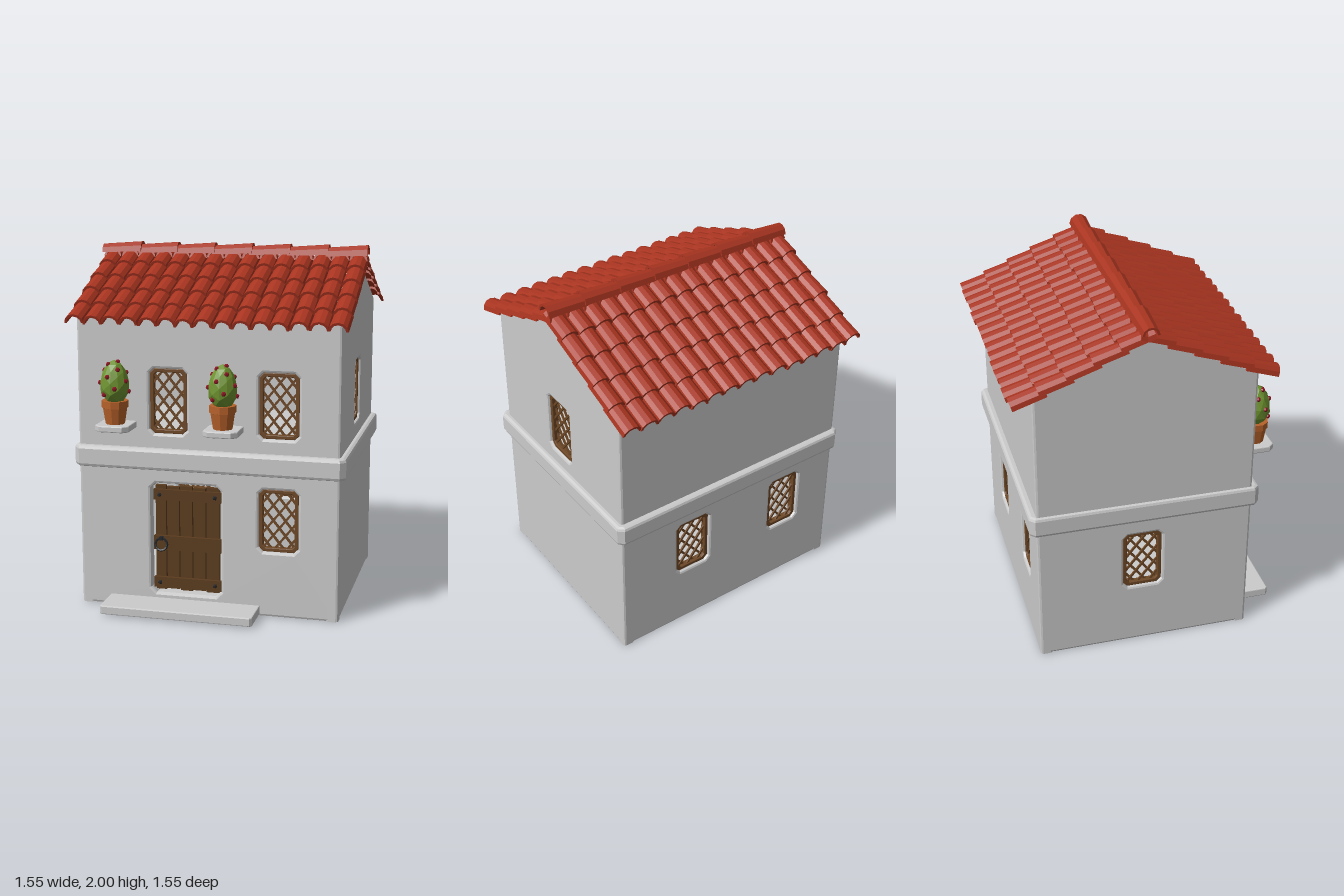
import * as THREE from 'three';

const mat = (color) => new THREE.MeshStandardMaterial({ color, flatShading: true, side: THREE.DoubleSide });
const PLASTER = mat(0xcccccc), TILE = mat(0xa83420), FRAME = mat(0x6e4826), DOOR = mat(0x5c3c1e);
const IRON = mat(0x24262a), CLAY = mat(0xb8622a), LEAF = mat(0x6f9430), BLOOM = mat(0x8c1424);

let seed = 7;
const rand = () => (seed = (seed * 16807) % 2147483647) / 2147483647;

function add(parent, name, geo, material, x = 0, y = 0, z = 0) {
  const m = new THREE.Mesh(geo, material);
  m.name = name;
  m.position.set(x, y, z);
  parent.add(m);
  return m;
}

function group(parent, name, x = 0, y = 0, z = 0) {
  const g = new THREE.Group();
  g.name = name;
  g.position.set(x, y, z);
  parent.add(g);
  return g;
}

// Rectangle with cut corners
function cutRect(x0, y0, x1, y1, c, Type = THREE.Shape) {
  return new Type([[x0 + c, y0], [x1 - c, y0], [x1, y0 + c], [x1, y1 - c], [x1 - c, y1], [x0 + c, y1], [x0, y1 - c], [x0, y0 + c]]
    .map(([x, y]) => new THREE.Vector2(x, y)));
}

// Bevelled slab of depth d with its front face at z = 0
function slab(shape, d, b) {
  return new THREE.ExtrudeGeometry(shape, {
    depth: d - 2 * b, bevelThickness: b, bevelSize: b, bevelOffset: -b, bevelSegments: 2, curveSegments: 4,
  }).translate(0, 0, b - d);
}

// Arched tile running along +z, narrower at its start
function archTile(w, h, t, len, taper, n) {
  const pts = [];
  for (let i = 0; i <= n; i++) {
    const a = (Math.PI * i) / n;
    pts.push(new THREE.Vector2((Math.cos(a) * w) / 2, Math.sin(a) * h));
  }
  for (let i = n; i >= 0; i--) {
    const a = (Math.PI * i) / n;
    pts.push(new THREE.Vector2(Math.cos(a) * (w / 2 - t), Math.sin(a) * (h - t)));
  }
  const geo = new THREE.ExtrudeGeometry(new THREE.Shape(pts), { depth: len, bevelEnabled: false });
  const p = geo.attributes.position;
  for (let i = 0; i < p.count; i++) {
    const s = taper + ((1 - taper) * p.getZ(i)) / len;
    p.setXY(i, p.getX(i) * s, p.getY(i) * s);
  }
  geo.computeVertexNormals();
  return geo;
}

// Framed window with a diagonal lattice
function addWindow(parent, [x0, y0, x1, y1]) {
  const w = x1 - x0, h = y1 - y0, f = 0.022;
  const g = group(parent, 'latticeWindow', (x0 + x1) / 2, (y0 + y1) / 2, -0.015);
  const frame = cutRect(-w / 2, -h / 2, w / 2, h / 2, 0.025);
  frame.holes.push(cutRect(f - w / 2, f - h / 2, w / 2 - f, h / 2 - f, 0.015, THREE.Path));
  add(g, 'windowFrame', slab(frame, 0.035, 0.004), FRAME);
  const a = w / 2 - f / 2, b = h / 2 - f / 2, k = 1.25;
  for (const side of [-1, 1]) {
    for (let c = -4; c <= 4; c++) {
      // Clip the line y = k x + off to the opening
      const off = c * 0.085 + 0.04;
      const u0 = Math.max(-a, (-b - off) / k), u1 = Math.min(a, (b - off) / k);
      if (u1 - u0 < 0.02) continue;
      const len = (u1 - u0) * Math.hypot(1, k);
      const bar = add(g, 'latticeBar', new THREE.BoxGeometry(len, 0.012, 0.01), FRAME,
        (side * (u0 + u1)) / 2, (k * (u0 + u1)) / 2 + off, -0.018 + side * 0.004);
      bar.rotation.z = side * Math.atan(k);
    }
  }
}

// Plank door with battens, bolts and a ring handle
function addDoor(parent) {
  const g = group(parent, 'door', 0, 0, -0.01);
  const edges = [-0.31, -0.245, -0.17, -0.095, -0.02, 0.06];
  for (let i = 0; i < 5; i++) {
    const w = edges[i + 1] - edges[i] - 0.006;
    add(g, 'doorPlank', new THREE.BoxGeometry(w, 0.6 - (i % 2) * 0.012, 0.025), DOOR, (edges[i] + edges[i + 1]) / 2, 0.405, -0.025);
  }
  for (const [y, h] of [[0.15, 0.06], [0.38, 0.08], [0.655, 0.06]]) {
    add(g, 'doorBatten', new THREE.BoxGeometry(0.385, h, 0.02), DOOR, -0.122, y, -0.005);
    if (y === 0.38) continue;
    for (const x of [-0.28, 0.035]) add(g, 'doorBolt', new THREE.IcosahedronGeometry(0.013, 0), IRON, x, y, 0.006);
  }
  const ring = add(g, 'doorRing', new THREE.TorusGeometry(0.034, 0.007, 5, 12), IRON, -0.268, 0.375, 0.02);
  ring.rotation.x = -0.2;
  add(g, 'ringMount', new THREE.BoxGeometry(0.02, 0.02, 0.025), IRON, -0.268, 0.408, 0.012);
}

// Wall shell with openings, ready to be turned to its side
function addWall(parent, name, outline, windows, pos, turn, door) {
  const g = group(parent, name, ...pos);
  g.rotation.y = turn;
  const shape = new THREE.Shape(outline.map(([x, y]) => new THREE.Vector2(x, y)));
  for (const o of windows) shape.holes.push(cutRect(...o, 0.025, THREE.Path));
  if (door) shape.holes.push(cutRect(-0.33, 0.09, 0.07, 0.72, 0.03, THREE.Path));
  add(g, name + 'Plaster', slab(shape, 0.07, 0.014), PLASTER);
  windows.forEach((o) => addWindow(g, o));
  if (door) addDoor(g);
}

// Shelf, pot and flowering bush
function addPlant(parent, x) {
  const g = group(parent, 'pottedPlant', x, 0, 0.65);
  add(g, 'shelf', slab(cutRect(-0.095, -0.11, 0.095, 0.09, 0.03), 0.035, 0.006).rotateX(Math.PI / 2), PLASTER, 0, 1.032, 0);
  const pot = [[0, 1.067], [0.052, 1.067], [0.066, 1.155], [0.073, 1.157], [0.073, 1.195], [0.06, 1.195], [0, 1.185]];
  add(g, 'pot', new THREE.LatheGeometry(pot.map(([r, y]) => new THREE.Vector2(r, y)), 10), CLAY);
  const bush = new THREE.IcosahedronGeometry(1, 1);
  const squeeze = (y) => 1 - 0.18 * y;
  const p = bush.attributes.position;
  for (let i = 0; i < p.count; i++) {
    const s = squeeze(p.getY(i));
    p.setXYZ(i, p.getX(i) * 0.079 * s, p.getY(i) * 0.12, p.getZ(i) * 0.079 * s);
  }
  add(g, 'bush', bush, LEAF, 0, 1.295, 0);
  for (let i = 0; i < 16; i++) {
    const v = 0.95 - (i / 15) * 1.6, r = Math.sqrt(1 - v * v) * 0.077 * squeeze(v), a = i * 2.4;
    add(g, 'blossom', new THREE.IcosahedronGeometry(0.014, 0), BLOOM, Math.cos(a) * r, 1.295 + v * 0.116, Math.sin(a) * r);
  }
}

export function createModel() {
  const house = new THREE.Group();
  house.name = 'house';

  // Walls
  const eave = [[-0.74, 0], [0.725, 0], [0.725, 1.64], [-0.74, 1.64]];
  const mirror = (pts) => pts.map(([x, y]) => [-x, y]).reverse();
  const gable = [[-0.65, 0], [0.56, 0], [0.56, 1.64], [-0.05, 1.915], [-0.65, 1.645]];
  addWall(house, 'frontWall', eave, [[-0.33, 1, -0.12, 1.36], [0.28, 1, 0.5, 1.36], [0.28, 0.37, 0.5, 0.72]], [0, 0, 0.56], 0, true);
  addWall(house, 'backWall', mirror(eave), [[-0.36, 0.37, -0.14, 0.72], [0.29, 0.37, 0.5, 0.72]], [0, 0, -0.65], Math.PI);
  addWall(house, 'leftWall', mirror(gable), [[-0.07, 1, 0.15, 1.36]], [0.725, 0, 0], Math.PI / 2);
  addWall(house, 'rightWall', gable, [[-0.17, 0.37, 0.05, 0.72]], [-0.74, 0, 0], -Math.PI / 2);

  // Floor, worn storey band and doorstep
  add(house, 'floor', new THREE.BoxGeometry(1.42, 0.02, 1.17), PLASTER, -0.0075, 0.012, -0.045);
  const band = slab(cutRect(-0.758, -0.602, 0.758, 0.688, 0.03), 0.12, 0.018).rotateX(-Math.PI / 2);
  const p = band.attributes.position;
  for (let i = 0; i < p.count; i++) {
    p.setY(i, p.getY(i) + 0.006 * Math.sin(p.getX(i) * 9 + p.getZ(i) * 6));
  }
  band.computeVertexNormals();
  add(house, 'storeyBand', band, PLASTER, 0, 0.922, 0);
  add(house, 'doorstep', slab(cutRect(-0.57, -0.765, 0.29, -0.5, 0.012), 0.05, 0.006).rotateX(-Math.PI / 2), PLASTER, 0, 0.06, 0);

  for (const x of [-0.495, 0.105]) addPlant(house, x);

  // Two tiled roof slopes
  const tile = archTile(0.109, 0.052, 0.014, 0.19, 0.95, 6);
  for (const [name, turn] of [['frontRoof', 0], ['backRoof', Math.PI]]) {
    const side = group(house, name, 0, 1.91, -0.05);
    side.rotation.y = turn;
    const slope = group(side, name + 'Tiles');
    slope.rotation.x = Math.atan2(0.31, 0.71);
    for (let col = 0; col < 15; col++) {
      const slip = (rand() - 0.5) * 0.012;
      for (let row = 0; row < 5; row++) {
        const t = add(slope, 'roofTile', tile, TILE, (col - 7) * 0.1025, -0.014, row * 0.155 - 0.035 + slip);
        t.rotation.set(-0.1, (rand() - 0.5) * 0.04, (rand() - 0.5) * 0.06);
      }
    }
  }

  // Ridge caps
  const cap = archTile(0.112, 0.056, 0.014, 0.235, 0.85, 5).rotateY(Math.PI / 2);
  for (let i = 0; i < 7; i++) {
    add(house, 'ridgeCap', cap, TILE, -0.775 + i * 0.2185, 1.935, -0.04).rotation.z = 0.04;
  }
  return house;
}
